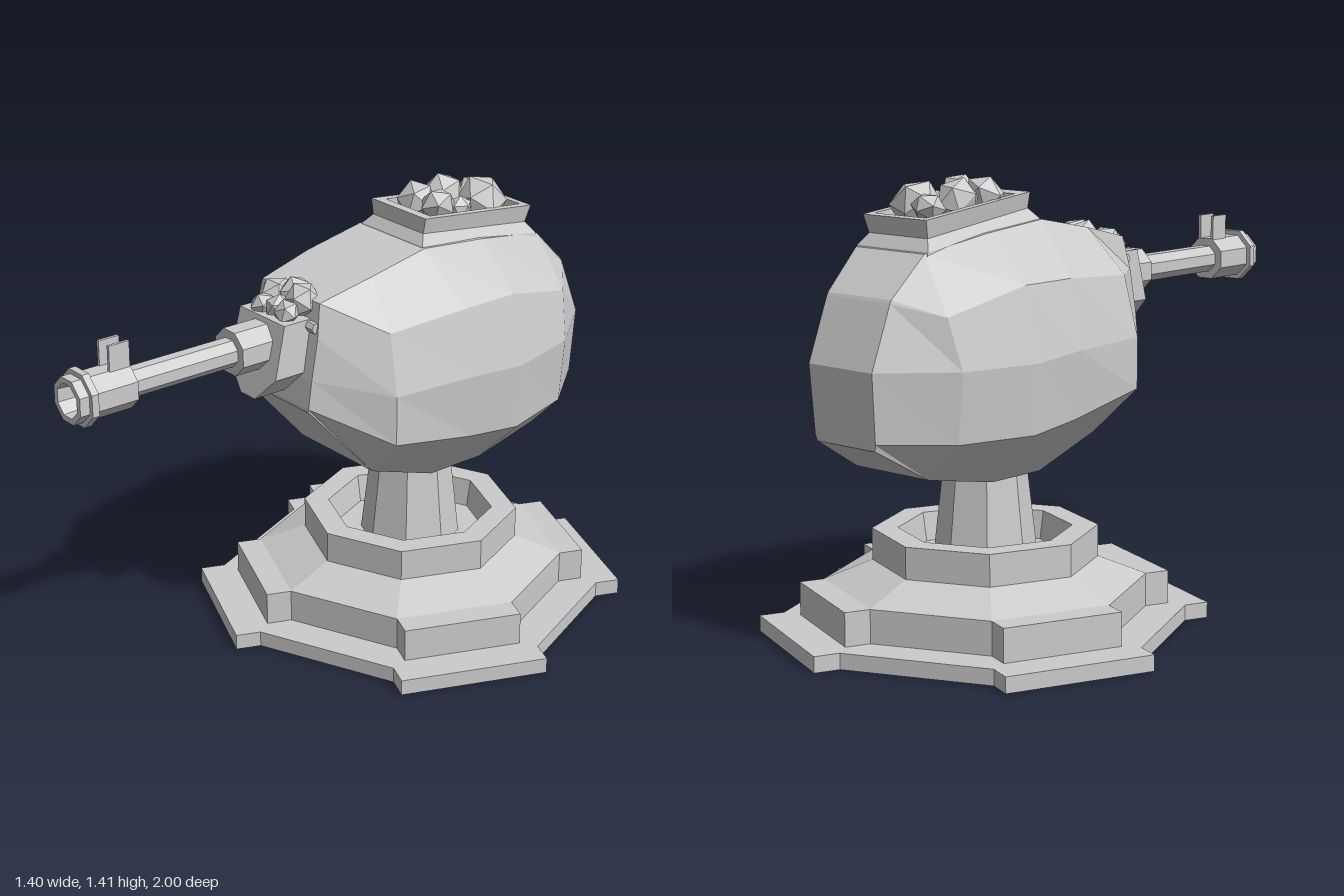
import * as THREE from 'three';

const mat = new THREE.MeshStandardMaterial({ color: 0xcccccc, flatShading: true });
const CZ = -0.3; // axis of the pedestal
const S = Math.PI / 4;

function add(parent, name, geometry, x = 0, y = 0, z = 0) {
  const mesh = new THREE.Mesh(geometry, mat);
  mesh.name = name;
  mesh.position.set(x, y, z);
  parent.add(mesh);
  return mesh;
}

// Octagonal plate whose alternate sides are pushed out by `push`
function platform(radius, push, height) {
  const pts = [];
  for (let k = 0; k < 8; k++) {
    const at = (a, n) => new THREE.Vector2(
      radius * Math.cos(a) + n * Math.cos((k + 0.5) * S),
      radius * Math.sin(a) + n * Math.sin((k + 0.5) * S));
    pts.push(at(k * S, 0));
    if (k % 2) pts.push(at(k * S, push), at((k + 1) * S, push));
  }
  const geo = new THREE.ExtrudeGeometry(new THREE.Shape(pts), { depth: height, bevelEnabled: false });
  return geo.rotateX(-Math.PI / 2);
}

function turned(profile) {
  return new THREE.LatheGeometry(profile.map(p => new THREE.Vector2(p[0], p[1])), 8);
}

// Skin over closed rings; rings run counter-clockwise seen from the end ring.
// End caps are strips between mirrored halves of a ring.
function loft(rings, capStart, capEnd) {
  const pos = [];
  const quad = (a, b, c, d) => pos.push(...a, ...b, ...c, ...a, ...c, ...d);
  const n = rings[0].length;
  for (let i = 0; i + 1 < rings.length; i++) {
    for (let j = 0; j < n; j++) {
      const k = (j + 1) % n;
      quad(rings[i][j], rings[i][k], rings[i + 1][k], rings[i + 1][j]);
    }
  }
  const cap = (r, flip) => {
    for (let j = 0; j < n / 2 - 1; j++) {
      const q = [r[j], r[j + 1], r[n - 2 - j], r[n - 1 - j]];
      quad(...(flip ? q.reverse() : q));
    }
  };
  if (capStart) cap(rings[0], true);
  if (capEnd) cap(rings[rings.length - 1], false);
  const geo = new THREE.BufferGeometry();
  geo.setAttribute('position', new THREE.Float32BufferAttribute(pos, 3));
  geo.computeVertexNormals();
  return geo;
}

// Irregular faceted stones: [x, y, z, radius]
function rocks(parent, name, list) {
  list.forEach(([x, y, z, r], i) => {
    const geo = new THREE.IcosahedronGeometry(r, 0);
    geo.scale(1, 0.8 + 0.1 * (i % 3), 0.85 + 0.12 * ((i + 1) % 3));
    add(parent, name, geo, x, y, z).rotation.set(i * 1.3 + 0.3, i * 0.9, i * 2.1);
  });
}

export function createModel() {
  const model = new THREE.Group();

  // Stepped pedestal
  const pedestal = new THREE.Group();
  pedestal.name = 'pedestal';
  pedestal.position.z = CZ;
  model.add(pedestal);
  add(pedestal, 'groundPlate', platform(0.625, 0.08, 0.05));
  add(pedestal, 'lowerStep', platform(0.5, 0.08, 0.105), 0, 0.05);
  add(pedestal, 'upperStep', turned([
    [0.5, 0.156], [0.35, 0.215], [0.35, 0.315], [0.27, 0.315], [0.255, 0.225], [0, 0.225]]));
  add(pedestal, 'column', new THREE.CylinderGeometry(0.12, 0.162, 0.37, 8), 0, 0.405);

  // Faceted body, sections from back to front, each from belly to top
  const sections = [
    [[0.12, 0.66, -0.887], [0.125, 0.68, -0.89], [0.13, 0.89, -0.905], [0.13, 1.08, -0.83], [0.13, 1.09, -0.825]],
    [[0.15, 0.55, -0.70], [0.27, 0.67, -0.70], [0.29, 0.885, -0.70], [0.25, 1.04, -0.72], [0.14, 1.21, -0.70]],
    [[0.17, 0.505, -0.45], [0.34, 0.67, -0.45], [0.355, 0.885, -0.45], [0.305, 1.11, -0.45], [0.155, 1.25, -0.45]],
    [[0.17, 0.505, -0.24], [0.335, 0.69, -0.26], [0.353, 0.90, -0.26], [0.305, 1.11, -0.25], [0.155, 1.272, -0.21]],
    [[0.175, 0.59, 0.01], [0.325, 0.74, 0.04], [0.325, 0.90, 0.04], [0.28, 1.09, 0.03], [0.155, 1.23, 0.0]],
    [[0.155, 0.85, 0.248], [0.157, 0.86, 0.248], [0.157, 0.95, 0.235], [0.155, 1.08, 0.21], [0.14, 1.185, 0.19]],
  ];
  const bodyRings = sections.map(s =>
    [...s, ...[...s].reverse().map(([x, y, z]) => [-x, y, z])]);
  add(model, 'body', loft(bodyRings, true, true));

  // Open hopper on the back: [half width, front z, back z, front y, back y]
  const hopperRings = [
    [0.15, -0.20, -0.70, 1.25, 1.19], [0.145, -0.21, -0.69, 1.275, 1.215],
    [0.12, -0.235, -0.665, 1.305, 1.25], [0.13, -0.235, -0.68, 1.355, 1.305],
    [0.105, -0.275, -0.655, 1.35, 1.308], [0.10, -0.28, -0.65, 1.30, 1.265],
  ].map(([w, zf, zb, yf, yb]) => [[w, yf, zf], [w, yb, zb], [-w, yb, zb], [-w, yf, zf]]);
  add(model, 'hopper', loft(hopperRings, false, true));
  rocks(model, 'hopperRock', [
    [-0.05, 1.33, -0.59, 0.055], [0.04, 1.33, -0.55, 0.078], [-0.055, 1.34, -0.47, 0.072],
    [-0.05, 1.345, -0.35, 0.07], [0.045, 1.35, -0.36, 0.06], [0.045, 1.32, -0.45, 0.045]]);

  // Gun mount, leaning forward towards its pointed underside
  const shield = new THREE.Shape([
    [-0.115, 0.965], [-0.035, 0.885], [0.035, 0.885], [0.115, 0.965], [0.11, 1.13], [-0.11, 1.13],
  ].map(p => new THREE.Vector2(...p)));
  const mount = new THREE.ExtrudeGeometry(shield, { depth: 0.17, bevelEnabled: false });
  const p = mount.attributes.position;
  for (let i = 0; i < p.count; i++) p.setZ(i, p.getZ(i) + 0.13 + (1.13 - p.getY(i)) * 0.24);
  mount.computeVertexNormals();
  add(model, 'gunMount', mount);
  const pin = new THREE.CylinderGeometry(0.018, 0.018, 0.29, 6).rotateZ(Math.PI / 2);
  add(model, 'mountPin', pin, 0, 1.11, 0.205);
  rocks(model, 'mountRock', [
    [-0.06, 1.165, 0.2, 0.058], [0.06, 1.175, 0.19, 0.055], [0, 1.175, 0.17, 0.055],
    [0.055, 1.145, 0.25, 0.045], [-0.05, 1.14, 0.255, 0.045], [0.005, 1.145, 0.24, 0.045]]);

  // Hollow octagonal barrel with sleeve, muzzle and ring
  const barrel = turned([
    [0, 0.2], [0.075, 0.2], [0.075, 0.425], [0.046, 0.425], [0.046, 0.8], [0.073, 0.8],
    [0.073, 0.945], [0.089, 0.945], [0.089, 0.968], [0.073, 0.968], [0.073, 1.0],
    [0.054, 1.0], [0.046, 0.86], [0, 0.86]]);
  add(model, 'barrel', barrel.rotateY(Math.PI / 8).rotateX(Math.PI / 2), 0, 1.045);
  for (const side of [-1, 1]) {
    add(model, 'sightFin', new THREE.BoxGeometry(0.01, 0.1, 0.07), side * 0.026, 1.14, 0.837);
  }
  return model;
}
